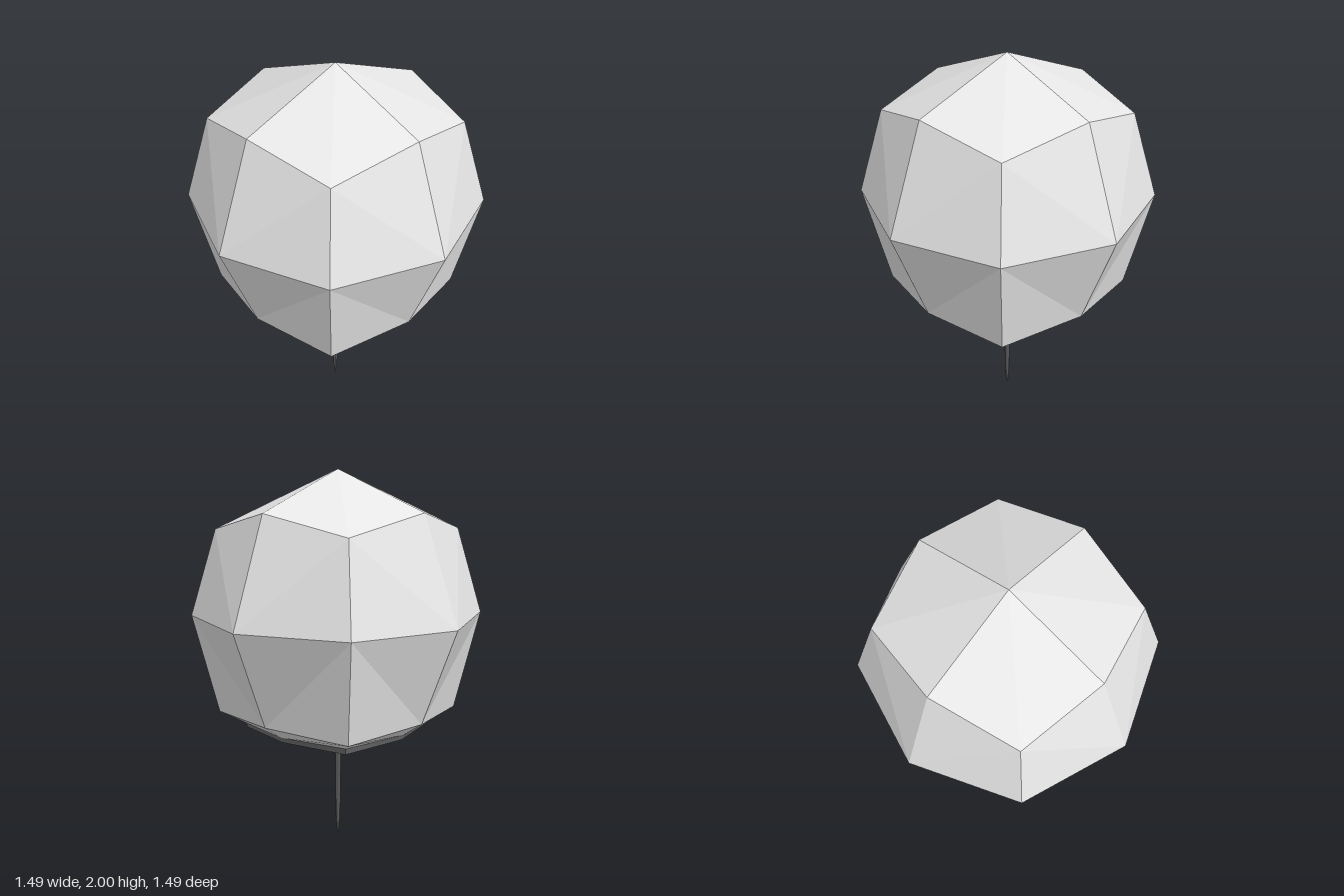
import * as THREE from 'three';

// Eight-point ring: points on the axes and points on the diagonals.
// axisR / axisY place the axis points, diag / diagY the (±diag, ±diag) points.
const ring = (axisR, axisY, diag, diagY) =>
  Array.from({ length: 8 }, (_, i) => {
    const a = (i * Math.PI) / 4;
    const r = i % 2 ? diag * Math.SQRT2 : axisR;
    return [Math.sin(a) * r, i % 2 ? diagY : axisY, Math.cos(a) * r];
  });

// Skin rings listed from top to bottom.
function loft(rings) {
  const pos = rings.flat(2);
  const index = [];
  for (let k = 0; k < rings.length - 1; k++) {
    for (let i = 0; i < 8; i++) {
      const j = (i + 1) % 8;
      const a = k * 8 + i, b = k * 8 + j, c = a + 8, d = b + 8;
      // Diagonals alternate so they run towards the cube corners
      if (i % 2) index.push(a, c, d, a, d, b);
      else index.push(a, c, b, b, c, d);
    }
  }
  const g = new THREE.BufferGeometry();
  g.setAttribute('position', new THREE.Float32BufferAttribute(pos, 3));
  g.setIndex(index);
  g.computeVertexNormals();
  return g;
}

// Eight-panel dome: each panel is one quad from the pole to a corner.
function dome(poleY, rim, down) {
  const pos = [0, poleY, 0, ...rim.flat()];
  const index = [];
  for (let i = 0; i < 8; i++) {
    const a = 1 + i, b = 1 + ((i + 1) % 8);
    if (down) index.push(0, b, a);
    else index.push(0, a, b);
  }
  const g = new THREE.BufferGeometry();
  g.setAttribute('position', new THREE.Float32BufferAttribute(pos, 3));
  g.setIndex(index);
  g.computeVertexNormals();
  return g;
}

export function createModel() {
  const white = new THREE.MeshStandardMaterial({ color: 0xe7e7e7, flatShading: true });
  white.name = 'white plastic';
  const metal = new THREE.MeshStandardMaterial({ color: 0x707070, flatShading: true });
  metal.name = 'dark metal';

  const model = new THREE.Group();
  model.name = 'pin';
  const add = (parent, name, geometry, material) => {
    const mesh = new THREE.Mesh(geometry, material);
    mesh.name = name;
    parent.add(mesh);
    return mesh;
  };

  // Faceted ball head with a bevelled underside
  const head = new THREE.Group();
  head.name = 'head';
  model.add(head);
  const crown = ring(0.542, 1.797, 0.445, 1.7);
  add(head, 'headTop', dome(2, crown, false), white);
  add(head, 'headSides', loft([
    crown,
    ring(0.747, 1.254, 0.542, 1.254),
    ring(0.552, 0.752, 0.45, 0.73),
    ring(0.445, 0.675, 0.355, 0.672),
  ]), white);

  // Dark base plate closing the head
  const base = new THREE.Group();
  base.name = 'base';
  model.add(base);
  const baseEdge = ring(0.433, 0.647, 0.345, 0.637);
  add(base, 'baseRim', loft([ring(0.445, 0.675, 0.355, 0.672), baseEdge]), metal);
  add(base, 'basePlate', dome(0.622, baseEdge, true), metal);

  // Needle with a tapered point
  const profile = [[0, 0], [0.008, 0.04], [0.013, 0.13], [0.019, 0.64]];
  add(model, 'needle', new THREE.LatheGeometry(
    profile.map(([x, y]) => new THREE.Vector2(x, y)), 8), metal);

  return model;
}
